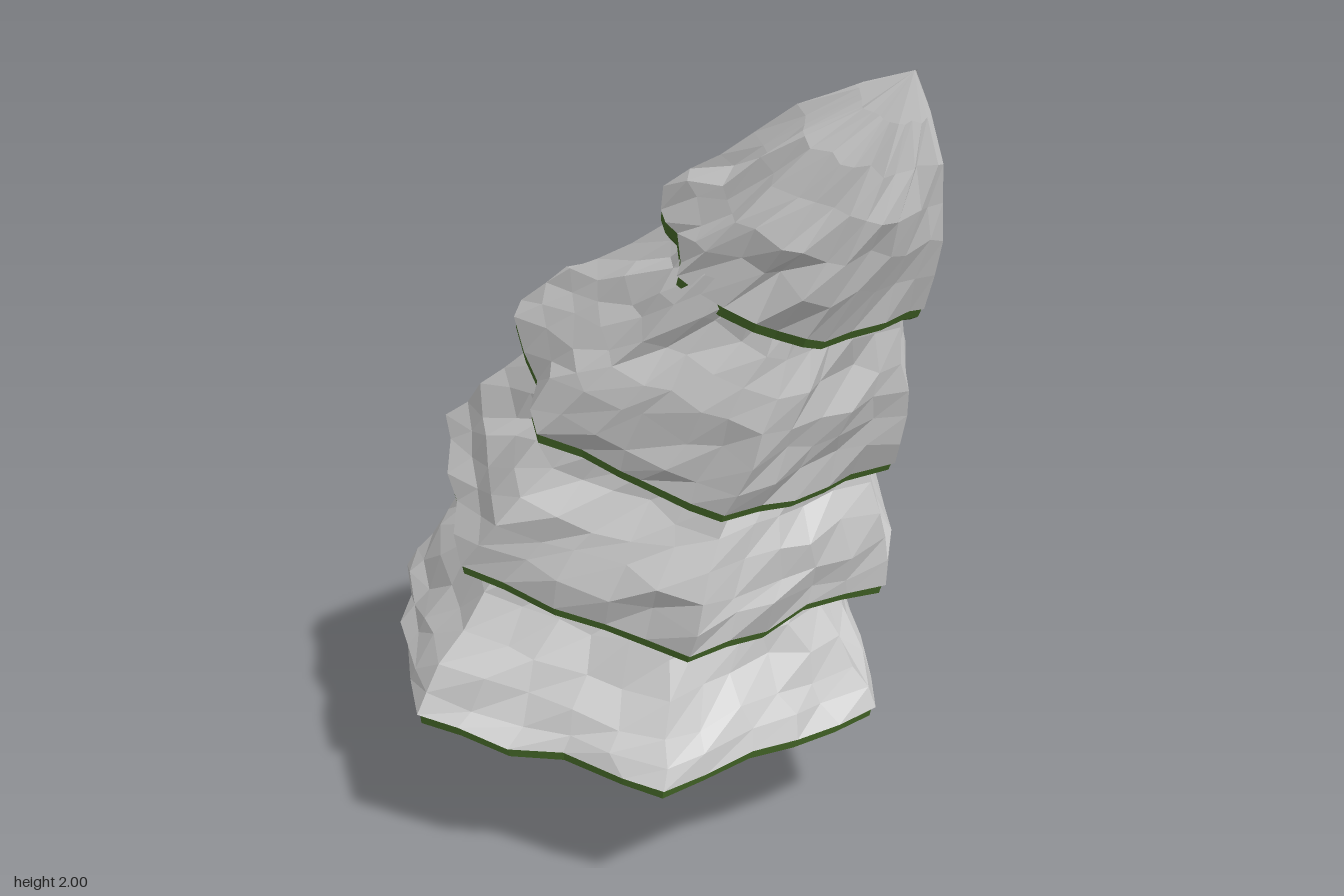
import * as THREE from 'three';

const SNOW = 0xcccccc, GREEN = 0x456828, BARK = 0x3a1a10;
const SIDES = 6, PER_SIDE = 5, COLS = SIDES * PER_SIDE, ROWS = 6;

// Tiers from the ground up. Each section: left x, y, right x, y, half depth,
// and how far the front and back ridges sit towards +x.
const TIERS = [
  { bulge: 0.045, z: 0, sections: [[-0.715, 0.46, 0.34, 0.33, 0.62, 0], [-0.67, 0.55, 0.29, 0.43, 0.55, 0],
    [-0.58, 0.72, 0.23, 0.58, 0.43, 0], [-0.45, 0.95, 0.21, 0.74, 0.33, 0]] },
  { bulge: 0, z: -0.012, sections: [[-0.585, 0.9, 0.375, 0.67, 0.56, 0.02], [-0.46, 1.02, 0.385, 0.8, 0.52, 0.03],
    [-0.33, 1.14, 0.37, 0.94, 0.42, 0.04], [-0.17, 1.29, 0.36, 1.09, 0.34, 0.05]] },
  { bulge: 0, z: 0, sections: [[-0.31, 1.28, 0.445, 1.02, 0.46, 0.02], [-0.14, 1.39, 0.5, 1.15, 0.42, 0.02],
    [0.03, 1.49, 0.525, 1.3, 0.34, 0.02], [0.24, 1.64, 0.55, 1.48, 0.26, 0.02]] },
  { bulge: 0, z: -0.008, sections: [[0.12, 1.64, 0.6, 1.44, 0.3, 0], [0.27, 1.735, 0.68, 1.62, 0.245, 0],
    [0.46, 1.88, 0.72, 1.8, 0.15, 0], [0.72, 2, 0.72, 2, 0, 0]] },
];

// Small seeded generator giving -1..1
function makeNoise(seed) {
  return () => {
    seed = (seed * 16807) % 2147483647;
    return (seed / 2147483647) * 2 - 1;
  };
}

// Skin closed rings of points, ordered so that faces look outward
function loft(name, rings, color) {
  const n = rings[0].length, index = [];
  for (let i = 0; i < rings.length - 1; i++) {
    for (let j = 0; j < n; j++) {
      const a = i * n + j, b = i * n + (j + 1) % n;
      index.push(a, a + n, b, b, a + n, b + n);
    }
  }
  const geometry = new THREE.BufferGeometry().setFromPoints(rings.flat());
  geometry.setIndex(index);
  geometry.computeVertexNormals();
  const mesh = new THREE.Mesh(geometry, new THREE.MeshStandardMaterial({ color, flatShading: true }));
  mesh.name = name;
  return mesh;
}

// Leaning hexagonal ring between a left and a right point; its left sides may bulge
function hexRing(left, right, depth, ridge, bulge, noise, amount) {
  const center = left.clone().add(right).multiplyScalar(0.5);
  const half = right.clone().sub(center).divideScalar(Math.cos(Math.PI / 6));
  return Array.from({ length: COLS }, (_, i) => {
    const side = Math.floor(i / PER_SIDE), s = (i % PER_SIDE) / PER_SIDE;
    const a = Math.PI / 6 + (side * Math.PI) / 3, b = a + Math.PI / 3;
    const swell = side >= 1 && side <= 3 ? 1 + bulge * Math.sin(Math.PI * s) : 1;
    const across = THREE.MathUtils.lerp(Math.cos(a), Math.cos(b), s) * swell;
    const along = THREE.MathUtils.lerp(Math.sin(a), Math.sin(b), s) * swell;
    const j = amount * (s === 0 ? 0.4 : 1);
    return center.clone().addScaledVector(half, across)
      .add(new THREE.Vector3(ridge * along * along + noise() * j, noise() * j, depth * along + noise() * j));
  });
}

function makeTier({ sections, bulge, z }, number) {
  const noise = makeNoise(1234 + number * 777);
  const curve = (pick) => new THREE.CatmullRomCurve3(sections.map(pick));
  const lefts = curve((s) => new THREE.Vector3(s[0], s[1], z));
  const rights = curve((s) => new THREE.Vector3(s[2], s[3], z * (1 - s[4] === 1 ? 0 : 1)));
  const spans = curve((s) => new THREE.Vector3(s[4], s[5], 0));

  // Snow cover
  const rings = [];
  for (let i = 0; i <= ROWS; i++) {
    const t = i / ROWS, span = spans.getPoint(t), depth = Math.max(0, span.x);
    rings.push(hexRing(lefts.getPoint(t), rights.getPoint(t), depth, span.y, bulge, noise, Math.min(0.018, depth * 0.07)));
  }

  // Branch layer: an upright band under the snow edge, a bevel and a flat underside
  const [lx, ly, rx, ry] = sections[0];
  const center = new THREE.Vector3((lx + rx) / 2, (ly + ry) / 2, z);
  const up = new THREE.Vector3(ly - ry, rx - lx, 0).normalize();
  const inset = (scale, lift, jitter) => rings[0].map((p) => p.clone().sub(center).multiplyScalar(scale)
    .add(center).addScaledVector(up, lift + noise() * jitter));
  const under = [inset(0, -0.025, 0), inset(0.5, -0.025, 0.008), inset(0.94, -0.036, 0.003),
    inset(0.98, -0.026, 0.002), inset(0.985, 0.003, 0)];

  const tier = new THREE.Group();
  tier.name = 'tier' + (number + 1);
  tier.add(loft('snowCover', rings, SNOW), loft('branchUnderside', under, GREEN));
  return tier;
}

// Slightly crooked trunk, closed at the ground
function makeTrunk() {
  const noise = makeNoise(91);
  const levels = [[0, -0.208, 0], [0, -0.208, 0.035], [0.07, -0.208, 0.039], [0.14, -0.217, 0.044], [0.2, -0.219, 0.047],
    [0.26, -0.213, 0.043], [0.33, -0.21, 0.043], [0.46, -0.2, 0.045]];
  const rings = levels.map(([y, x, r]) => Array.from({ length: 10 }, (_, j) => {
    const a = (j / 10) * Math.PI * 2, radius = r * (1 + noise() * 0.1);
    return new THREE.Vector3(x + radius * Math.cos(a), y, radius * Math.sin(a));
  }));
  return loft('trunk', rings, BARK);
}

export function createModel() {
  const tree = new THREE.Group();
  tree.name = 'leaningSnowyTree';
  tree.add(makeTrunk());
  TIERS.forEach((tier, i) => tree.add(makeTier(tier, i)));
  return tree;
}
